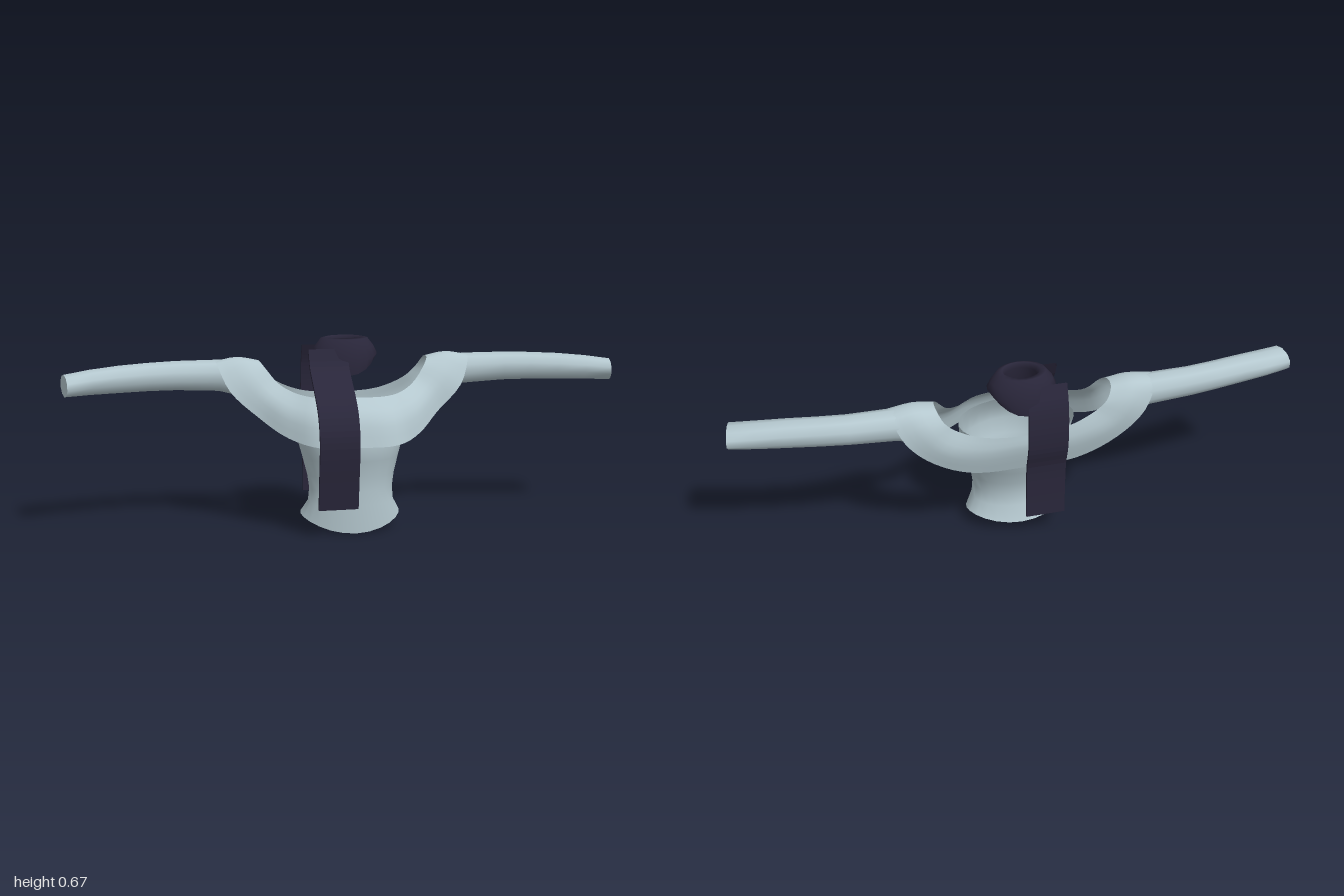
import * as THREE from 'three';

const cloth = new THREE.MeshStandardMaterial({ color: 0xb4c7ce, side: THREE.DoubleSide });
cloth.name = 'pale blue cloth';
const dark = new THREE.MeshStandardMaterial({ color: 0x29263a, side: THREE.DoubleSide });
dark.name = 'dark scarf cloth';

const V = (x, y, z) => new THREE.Vector3(x, y, z);

// Smooth skin over closed rings of equal point count
function loft(rings) {
  const n = rings[0].length, pos = [], idx = [];
  for (const r of rings) for (const p of r) pos.push(p.x, p.y, p.z);
  for (let i = 0; i < rings.length - 1; i++) {
    for (let j = 0; j < n; j++) {
      const a = i * n + j, b = i * n + (j + 1) % n;
      idx.push(a, b, a + n, b, b + n, a + n);
    }
  }
  const g = new THREE.BufferGeometry();
  g.setAttribute('position', new THREE.Float32BufferAttribute(pos, 3));
  g.setIndex(idx);
  g.computeVertexNormals();
  return g;
}

// Flat fan closing a ring
function cap(ring, flip) {
  const c = V(0, 0, 0);
  ring.forEach(p => c.addScaledVector(p, 1 / ring.length));
  const pos = [];
  ring.forEach((p, i) => {
    const q = ring[(i + 1) % ring.length];
    for (const v of flip ? [c, q, p] : [c, p, q]) pos.push(v.x, v.y, v.z);
  });
  const g = new THREE.BufferGeometry();
  g.setAttribute('position', new THREE.Float32BufferAttribute(pos, 3));
  g.computeVertexNormals();
  return g;
}

function ringOf(n, f) {
  return Array.from({ length: n }, (_, i) => f(i / n * Math.PI * 2));
}

function add(parent, geometry, material, name) {
  const m = new THREE.Mesh(geometry, material);
  m.name = name;
  parent.add(m);
  return m;
}

// Bodice: [y, half width, front z, back z], with a dipped hem
function buildBodice(group) {
  const levels = [
    [null, 0.18, 0.122, -0.112], [0.1, 0.155, 0.125, -0.088], [0.15, 0.15, 0.126, -0.085],
    [0.2, 0.157, 0.13, -0.093], [0.26, 0.172, 0.143, -0.117], [0.32, 0.188, 0.16, -0.142],
    [0.38, 0.2, 0.145, -0.158], [0.435, 0.207, 0.11, -0.163],
  ];
  const rings = levels.map(([y, w, f, b]) => ringOf(24, t => V(
    w * Math.sin(t),
    y === null ? 0.0375 - 0.02 * Math.cos(t) - 0.0175 * Math.cos(2 * t) : y,
    (f + b) / 2 + (f - b) / 2 * Math.cos(t))));
  add(group, loft(rings), cloth, 'bodice');
  add(group, cap(rings[0], true), cloth, 'hem underside');
}

// Off-shoulder band: upper, middle and lower points, front centre to back centre
function buildBand(group) {
  const half = [
    [[0, .48, .095], [0, .42, .16], [0, .32, .187]],
    [[.12, .48, .08], [.13, .415, .148], [.135, .322, .178]],
    [[.195, .49, .02], [.225, .43, .07], [.235, .345, .09]],
    [[.25, .52, -.03], [.295, .475, .0], [.325, .405, .0]],
    [[.29, .57, -.06], [.36, .55, -.04], [.42, .495, -.03]],
    [[.305, .59, -.09], [.38, .602, -.09], [.46, .588, -.085]],
    [[.305, .587, -.14], [.38, .597, -.15], [.46, .582, -.15]],
    [[.285, .55, -.165], [.36, .545, -.183], [.42, .495, -.18]],
    [[.24, .51, -.167], [.295, .46, -.187], [.325, .395, -.172]],
    [[.14, .47, -.173], [.17, .41, -.18], [.185, .322, -.157]],
    [[0, .46, -.177], [0, .41, -.18], [0, .31, -.152]],
  ];
  const mirrored = half.slice(1, -1).reverse().map(s => s.map(([x, y, z]) => [-x, y, z]));
  const stations = [...half, ...mirrored];
  const edges = [2, 1, 0].map(k =>
    new THREE.CatmullRomCurve3(stations.map(s => V(...s[k])), true));
  const n = 80;
  const rows = edges.map(c => Array.from({ length: n }, (_, i) => c.getPoint(i / n)));
  const rings = [];
  for (let r = 0; r <= 6; r++) {
    rings.push(rows[0].map((p, i) =>
      new THREE.CatmullRomCurve3([p, rows[1][i], rows[2][i]]).getPoint(r / 6)));
  }
  add(group, loft(rings), cloth, 'shoulder band');
}

// Sleeve: [x, y, z, vertical radius, depth radius, end slant]
function buildSleeve(group, side) {
  const sleeve = new THREE.Group();
  sleeve.name = side > 0 ? 'left sleeve' : 'right sleeve';
  const rings = [
    [0.34, 0.523, -0.115, 0.066, 0.052, 0], [0.45, 0.542, -0.117, 0.056, 0.054, 0],
    [0.6, 0.546, -0.114, 0.052, 0.05, 0.06], [0.7, 0.546, -0.1, 0.05, 0.05, 0.14],
    [0.8, 0.544, -0.08, 0.048, 0.051, 0.2], [0.9, 0.54, -0.058, 0.044, 0.054, 0.2],
    [0.988, 0.534, -0.032, 0.039, 0.056, 0.2],
  ].map(([x, y, z, ry, rz, slant]) => ringOf(10, t => {
    const dz = rz * Math.sin(t) * side;
    return V(side * (x - slant * dz), y + ry * Math.cos(t), z + dz);
  }));
  const tube = side > 0 ? rings : rings.map(r => [...r]);
  add(sleeve, loft(tube), cloth, 'sleeve tube');
  add(sleeve, cap(rings[rings.length - 1], false), cloth, 'cuff end');
  group.add(sleeve);
}

// Hanging scarf end: a thin strip following a [z, y] path
function buildTail(group, path, name) {
  const pts = new THREE.CatmullRomCurve3(path.map(([z, y]) => V(0, y, z))).getPoints(24);
  const rings = pts.map((p, i) => {
    const d = pts[Math.min(i + 1, 24)].clone().sub(pts[Math.max(i - 1, 0)]).normalize();
    const ny = -d.z * 0.006, nz = d.y * 0.006;
    return [[-0.142, 1], [-0.002, 1], [-0.002, -1], [-0.142, -1]].map(([x, s]) =>
      V(x, p.y + s * ny, p.z + s * nz));
  });
  const g = loft(rings).toNonIndexed();
  g.computeVertexNormals();
  add(group, g, dark, name);
  add(group, cap(rings[24], false), dark, name + ' tip');
}

function buildScarf(group) {
  const scarf = new THREE.Group();
  scarf.name = 'scarf';
  // Neck wrap: lower rim arches up at the sides; the top rolls inwards
  const rings = [
    [0.108, 0.092, 0.57, 0.035], [0.12, 0.092, 0.6, 0.017], [0.108, 0.08, 0.635, 0.004],
    [0.085, 0.063, 0.668, 0], [0.066, 0.053, 0.672, 0], [0.056, 0.05, 0.65, 0],
    [0.07, 0.065, 0.6, 0.01],
  ].map(([rx, rz, y, arch]) => ringOf(20, t => V(
    rx * Math.sin(t), y - arch * Math.cos(2 * t) * 0.8, -0.093 + rz * Math.cos(t))));
  add(scarf, loft(rings), dark, 'neck wrap');
  buildTail(scarf, [[-0.03, 0.635], [0.0, 0.575], [0.045, 0.535], [0.1, 0.493], [0.155, 0.44],
    [0.183, 0.38], [0.189, 0.32], [0.173, 0.2], [0.159, 0.1]], 'front scarf end');
  buildTail(scarf, [[-0.155, 0.635], [-0.176, 0.58], [-0.186, 0.53], [-0.19, 0.46],
    [-0.185, 0.39], [-0.165, 0.315], [-0.159, 0.2], [-0.159, 0.1]], 'back scarf end');
  group.add(scarf);
}

export function createModel() {
  const group = new THREE.Group();
  group.name = 'off-shoulder top with scarf';
  buildBodice(group);
  buildBand(group);
  for (const side of [1, -1]) buildSleeve(group, side);
  buildScarf(group);
  return group;
}
